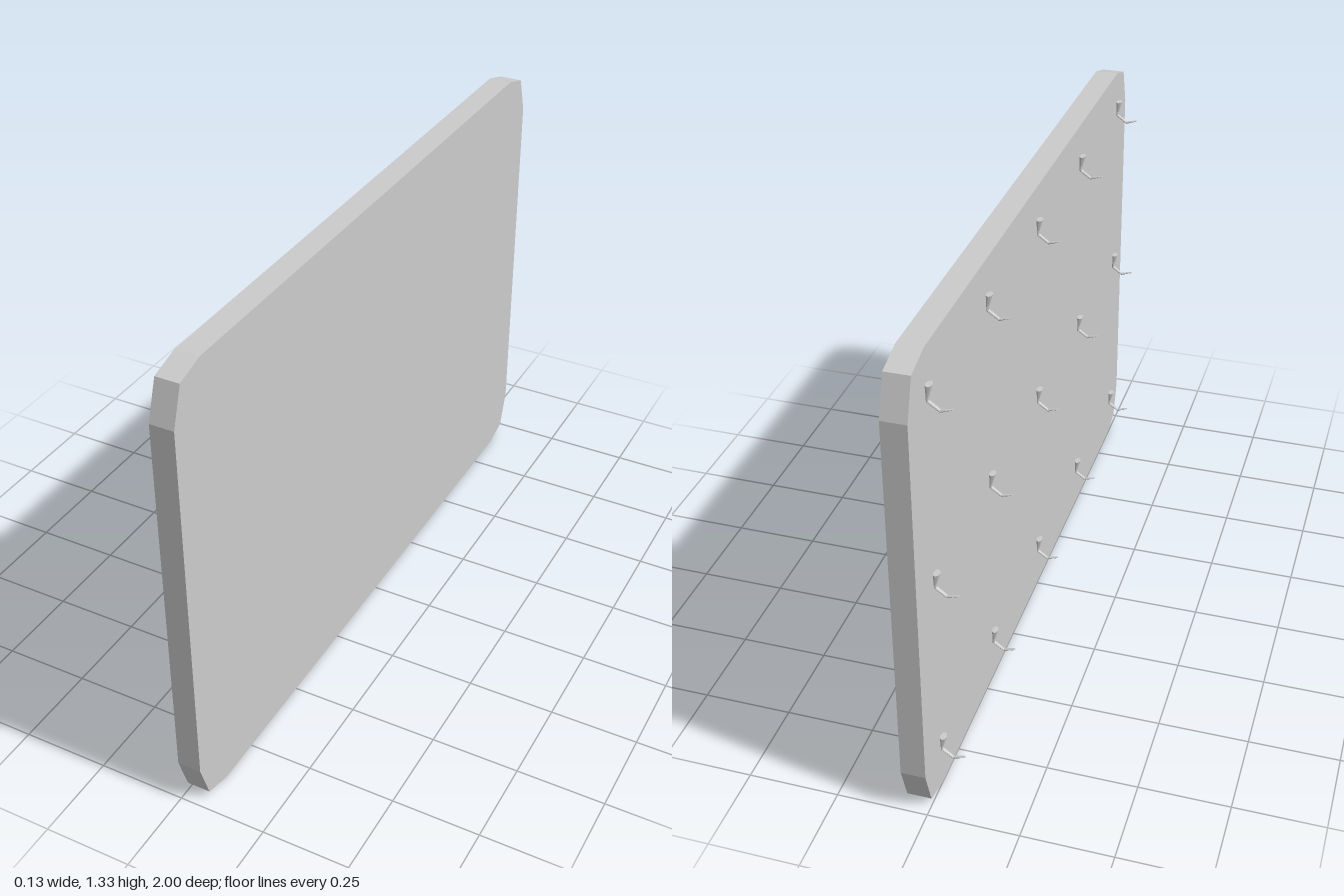
import * as THREE from 'three';

const material = new THREE.MeshStandardMaterial({ color: 0xcccccc, flatShading: true });

// Loft of elliptical rings: [x, y, tilt, half thickness in xy, half width in z]
function loft(sections, sides) {
  const pos = [], index = [];
  for (const [x, y, tilt, a, b] of sections) {
    for (let i = 0; i < sides; i++) {
      const t = (i / sides) * Math.PI * 2;
      const u = Math.cos(t) * a;
      pos.push(x + u * Math.cos(tilt), y + u * Math.sin(tilt), Math.sin(t) * b);
    }
  }
  for (let s = 0; s < sections.length - 1; s++) {
    for (let i = 0; i < sides; i++) {
      const j = (i + 1) % sides, p = s * sides, q = p + sides;
      index.push(p + i, p + j, q + i, p + j, q + j, q + i);
    }
  }
  // End caps
  const last = (sections.length - 1) * sides;
  for (let i = 1; i < sides - 1; i++) {
    index.push(0, i + 1, i, last, last + i, last + i + 1);
  }
  const g = new THREE.BufferGeometry();
  g.setAttribute('position', new THREE.Float32BufferAttribute(pos, 3));
  g.setIndex(index);
  g.computeVertexNormals();
  return g;
}

export function createModel() {
  const group = new THREE.Group();

  // Panel with faceted corners, thin along x
  const hz = 1, hy = 0.6667, depth = 0.067;
  const corner = [[1, 0.535], [0.965, 0.642], [0.88, hy]];
  const outline = [];
  for (const [sx, sy] of [[1, 1], [-1, 1], [-1, -1], [1, -1]]) {
    const pts = corner.map(([z, y]) => new THREE.Vector2(z * hz * sx, y * sy));
    outline.push(...(sx * sy > 0 ? pts : pts.reverse()));
  }
  const panelGeo = new THREE.ExtrudeGeometry(new THREE.Shape(outline), { depth, bevelEnabled: false });
  panelGeo.rotateY(Math.PI / 2);
  panelGeo.translate(0, hy, 0);
  const panel = new THREE.Mesh(panelGeo, material);
  panel.name = 'panel';
  group.add(panel);

  // Hook: flared peg, elbow at the panel, arm dropping outward and upturned flat tip
  const hookGeo = loft([
    [-0.009, 0.045, 0, 0.009, 0.015],
    [-0.0045, 0.012, 0, 0.004, 0.007],
    [-0.004, 0, -0.5, 0.004, 0.006],
    [-0.034, -0.022, -1.5, 0.004, 0.005],
    [-0.067, -0.0125, -1.8, 0.001, 0.004],
  ], 8);

  // Three rows of five hooks
  for (let row = 0; row < 3; row++) {
    for (let col = -2; col <= 2; col++) {
      const hook = new THREE.Mesh(hookGeo, material);
      hook.name = 'hook';
      hook.position.set(0, 0.126 + row * 0.535, col * 0.441);
      group.add(hook);
    }
  }
  return group;
}
